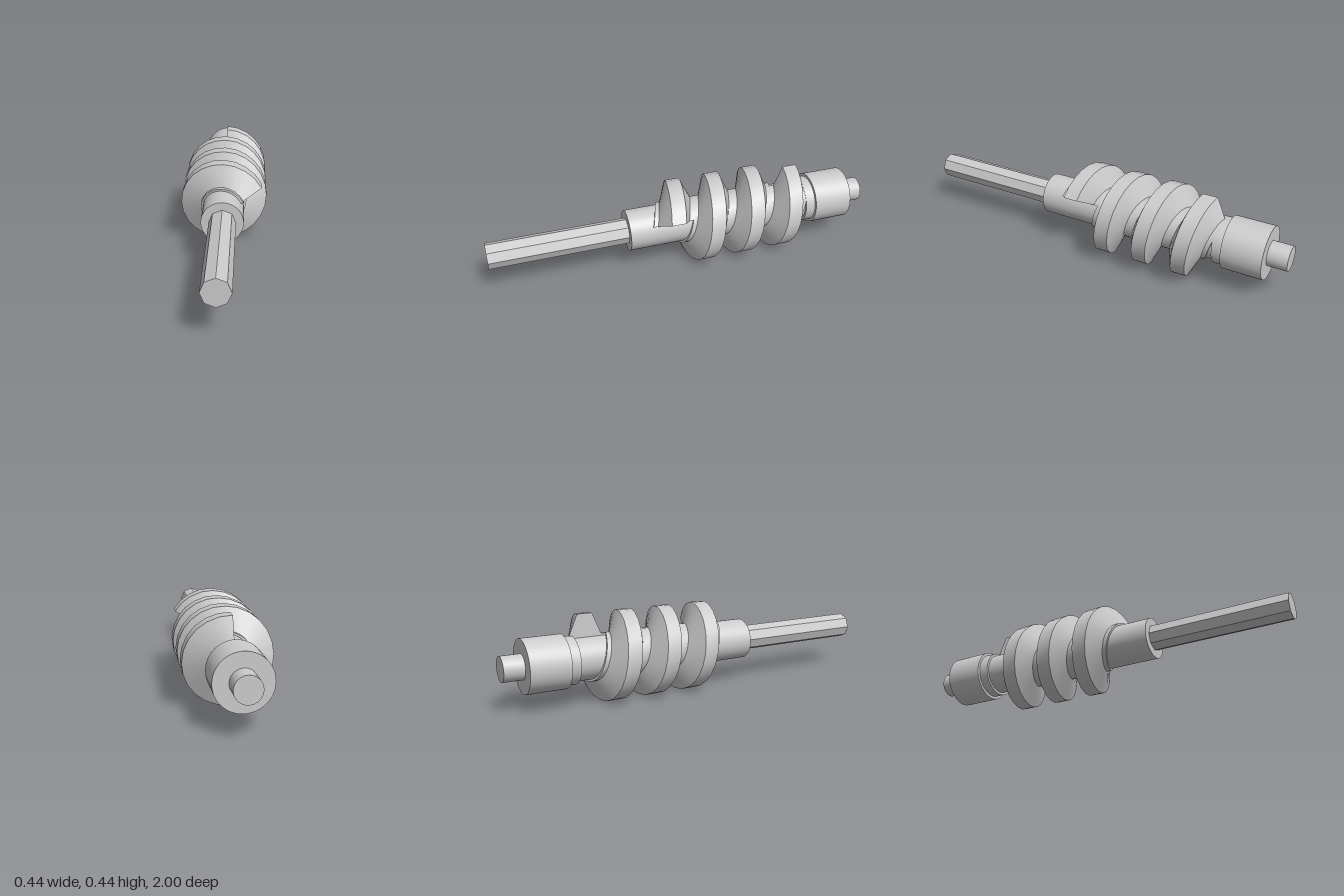
import * as THREE from 'three';
import { toCreasedNormals } from 'three/addons/utils/BufferGeometryUtils.js';

const AXIS_Y = 0.22;

// Helical rib: a trapezoid tooth on a thin root band, swept around the z axis
function helixGeometry({ start, end, step, pitch, zAtTop, profile }) {
  const positions = [], index = [];
  const n = profile.length;
  const turns = Math.round((end - start) / step);
  for (let i = 0; i <= turns; i++) {
    const deg = start + i * step;
    const a = THREE.MathUtils.degToRad(deg);
    const zMid = zAtTop - pitch * (deg - 90) / 360;
    for (const [z, r] of profile) positions.push(r * Math.cos(a), r * Math.sin(a), zMid + z);
  }
  for (let i = 0; i < turns; i++) {
    for (let j = 0; j < n; j++) {
      const a = i * n + j, b = a + n;
      const c = i * n + (j + 1) % n, d = c + n;
      index.push(a, b, c, b, d, c);
    }
  }
  // end caps: root band and tooth, each a convex quad
  const last = turns * n;
  for (const [p, q, r, s] of [[0, 1, 6, 7], [2, 3, 4, 5]]) {
    index.push(p, q, r, p, r, s);
    index.push(last + p, last + r, last + q, last + p, last + s, last + r);
  }
  const geometry = new THREE.BufferGeometry();
  geometry.setAttribute('position', new THREE.Float32BufferAttribute(positions, 3));
  geometry.setIndex(index);
  return toCreasedNormals(geometry, 0.5);
}

export function createModel() {
  const group = new THREE.Group();
  group.name = 'wormShaft';
  const material = new THREE.MeshStandardMaterial({ color: 0xcccccc });

  const add = (name, geometry) => {
    const mesh = new THREE.Mesh(geometry, material);
    mesh.name = name;
    mesh.position.y = AXIS_Y;
    group.add(mesh);
  };

  // Turned sections along the axis: name, radius, front z, back z, sides
  const sections = [
    ['driveShaft', 0.066, 1, 0.3, 8],
    ['core', 0.104, 0.3, -0.65, 48],
    ['shoulder', 0.117, -0.65, -0.7, 48],
    ['bearingCollar', 0.132, -0.7, -0.9, 48],
    ['endStub', 0.062, -0.9, -1, 32],
  ];
  for (const [name, radius, front, back, sides] of sections) {
    const geometry = new THREE.CylinderGeometry(radius, radius, front - back, sides);
    geometry.rotateX(Math.PI / 2);
    geometry.translate(0, 0, (front + back) / 2);
    add(name, toCreasedNormals(geometry, 0.5));
  }

  // Worm thread with its root band
  const pitch = 0.209, half = pitch / 2;
  add('thread', helixGeometry({
    start: 30, end: 1170, step: 15, pitch, zAtTop: 0.043,
    profile: [
      [-half, 0.09], [-half, 0.115], [-0.082, 0.115], [-0.037, 0.22],
      [0.037, 0.22], [0.082, 0.115], [half, 0.115], [half, 0.09],
    ],
  }));

  return group;
}
